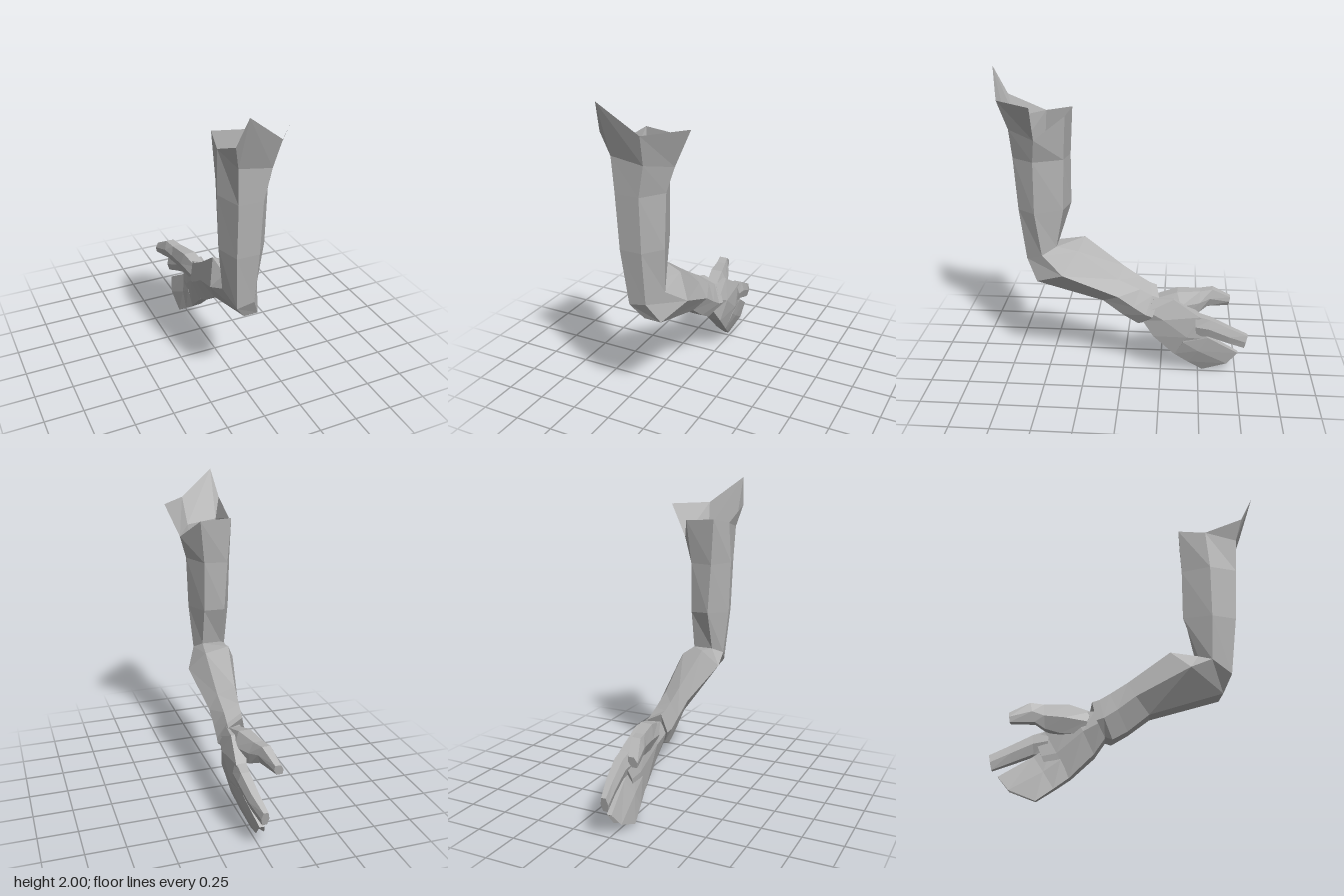
import * as THREE from 'three';

// Skin rows of matching points [x, y, z]; rings close around, strips stay open
function loft(name, rows, material, { closed = true, startCap = false, endCap = false } = {}) {
  const n = rows[0].length;
  const index = [];
  for (let r = 0; r < rows.length - 1; r++) {
    for (let i = 0; i < (closed ? n : n - 1); i++) {
      const j = (i + 1) % n;
      const a0 = r * n + i, b0 = r * n + j, a1 = a0 + n, b1 = b0 + n;
      index.push(a0, a1, b1, a0, b1, b0);
    }
  }
  const last = (rows.length - 1) * n;
  for (let i = 1; i < n - 1; i++) {
    if (startCap) index.push(0, i, i + 1);
    if (endCap) index.push(last, last + i + 1, last + i);
  }
  const indexed = new THREE.BufferGeometry();
  indexed.setAttribute('position', new THREE.Float32BufferAttribute(rows.flat(2), 3));
  indexed.setIndex(index);
  const geometry = indexed.toNonIndexed(); // faceted normals
  geometry.computeVertexNormals();
  const mesh = new THREE.Mesh(geometry, material);
  mesh.name = name;
  return mesh;
}

// Six-sided hand section from its top and bottom [z, y], centre x at each, and half thickness
function section([tz, ty], [bz, by], xTop, xBottom, half, edge = 0.6) {
  const mx = (xTop + xBottom) / 2, my = (ty + by) / 2, mz = (tz + bz) / 2;
  const e = half * edge;
  return [
    [xBottom - e, by, bz], [xBottom + e, by, bz], [mx + half, my, mz],
    [xTop + e, ty, tz], [xTop - e, ty, tz], [mx - half, my, mz],
  ];
}

export function createModel() {
  const group = new THREE.Group();
  group.name = 'bentArm';
  const grey = new THREE.MeshStandardMaterial({ color: 0xb4b4b4, side: THREE.DoubleSide, flatShading: true });
  grey.name = 'plain grey';

  // Ring order: front-left, front-right, right, inner right, inner left, left
  const shoulder = [[-0.18, 1.68, 0.7], [0.02, 1.65, 0.7], [0.12, 1.61, 0.53],
    [0.03, 1.74, 0.35], [-0.17, 1.755, 0.33], [-0.21, 1.72, 0.5]];
  const elbow = [[-0.14, 0.76, 0.63], [-0.03, 0.78, 0.63], [0.04, 0.83, 0.52],
    [0.0, 0.88, 0.43], [-0.13, 0.88, 0.43], [-0.18, 0.84, 0.51]];
  group.add(loft('upperArm', [
    shoulder,
    [[-0.17, 1.46, 0.69], [-0.02, 1.46, 0.69], [0.075, 1.46, 0.55],
      [0.0, 1.46, 0.37], [-0.15, 1.46, 0.345], [-0.22, 1.46, 0.52]],
    [[-0.165, 1.12, 0.67], [-0.025, 1.12, 0.67], [0.062, 1.12, 0.555],
      [0.0, 1.13, 0.38], [-0.13, 1.14, 0.345], [-0.21, 1.12, 0.52]],
    elbow,
  ], grey));

  // Flared open flap at the front of the shoulder
  group.add(loft('shoulderFlap', [
    [[-0.215, 1.82, 0.74], [-0.18, 2.0, 0.82], [0.04, 1.83, 0.76], [0.22, 1.83, 0.53]],
    [shoulder[5], shoulder[0], shoulder[1], shoulder[2]],
  ], grey, { closed: false }));

  // Forearm runs from the elbow back to the wrist
  const wrist = [[-0.06, 0.37, -0.09], [0.025, 0.36, -0.1], [0.08, 0.45, -0.15],
    [0.025, 0.565, -0.19], [-0.075, 0.615, -0.17], [-0.105, 0.49, -0.14]];
  group.add(loft('forearm', [
    elbow,
    [[-0.07, 0.66, 0.58], [0.03, 0.645, 0.56], [0.115, 0.725, 0.38],
      [0.02, 0.86, 0.29], [-0.13, 0.905, 0.26], [-0.2, 0.78, 0.38]],
    [[-0.065, 0.525, 0.13], [0.025, 0.52, 0.13], [0.075, 0.57, 0.03],
      [0.02, 0.67, 0.03], [-0.09, 0.72, 0.0], [-0.125, 0.62, 0.05]],
    [[-0.06, 0.42, 0.0], [0.025, 0.42, 0.0], [0.075, 0.5, -0.07],
      [0.02, 0.605, -0.11], [-0.08, 0.65, -0.11], [-0.11, 0.54, -0.06]],
    wrist,
  ], grey));

  // Short cuff around the wrist
  const cuffEnd = wrist.map(([x, y, z]) => [x + 0.008, y - 0.012 + (y < 0.4 ? 0.03 : 0), z - 0.045]);
  group.add(loft('wristCuff', [wrist, cuffEnd], grey, { endCap: true }));

  // Palm
  group.add(loft('palm', [
    section([-0.2, 0.55], [-0.13, 0.39], -0.01, 0.0, 0.075),
    section([-0.33, 0.55], [-0.2, 0.29], 0.0, 0.02, 0.075),
    section([-0.5, 0.44], [-0.34, 0.15], 0.035, 0.01, 0.055),
    section([-0.56, 0.4], [-0.46, 0.16], 0.03, 0.01, 0.04),
  ], grey, { startCap: true, endCap: true }));

  // Joined outer fingers, curling inward at the tips
  group.add(loft('outerFingers', [
    section([-0.45, 0.36], [-0.34, 0.15], 0.03, 0.01, 0.052),
    section([-0.56, 0.285], [-0.43, 0.08], 0.03, -0.01, 0.042),
    section([-0.76, 0.155], [-0.53, 0.005], -0.005, -0.035, 0.026),
  ].map((s, i) => {
    if (i === 2) for (const k of [2, 5]) { s[k][1] -= 0.01; s[k][2] -= 0.045; }
    return s;
  }), grey, { startCap: true, endCap: true }));

  // Forefinger
  group.add(loft('forefinger', [
    section([-0.47, 0.45], [-0.48, 0.3], 0.035, 0.03, 0.05),
    section([-0.57, 0.42], [-0.56, 0.3], 0.035, 0.035, 0.045),
    section([-0.7, 0.35], [-0.69, 0.245], 0.02, 0.02, 0.038),
    section([-0.82, 0.285], [-0.8, 0.195], -0.005, -0.005, 0.025),
  ], grey, { startCap: true, endCap: true }));

  // Thumb, swinging out to the right
  group.add(loft('thumb', [
    section([-0.22, 0.55], [-0.26, 0.41], -0.01, -0.01, 0.06),
    section([-0.35, 0.585], [-0.4, 0.41], -0.035, -0.02, 0.065),
    section([-0.5, 0.575], [-0.49, 0.43], -0.07, -0.05, 0.05),
    section([-0.58, 0.58], [-0.55, 0.46], -0.09, -0.09, 0.045),
    section([-0.7, 0.51], [-0.69, 0.445], -0.12, -0.135, 0.03),
  ], grey, { startCap: true, endCap: true }));

  return group;
}
